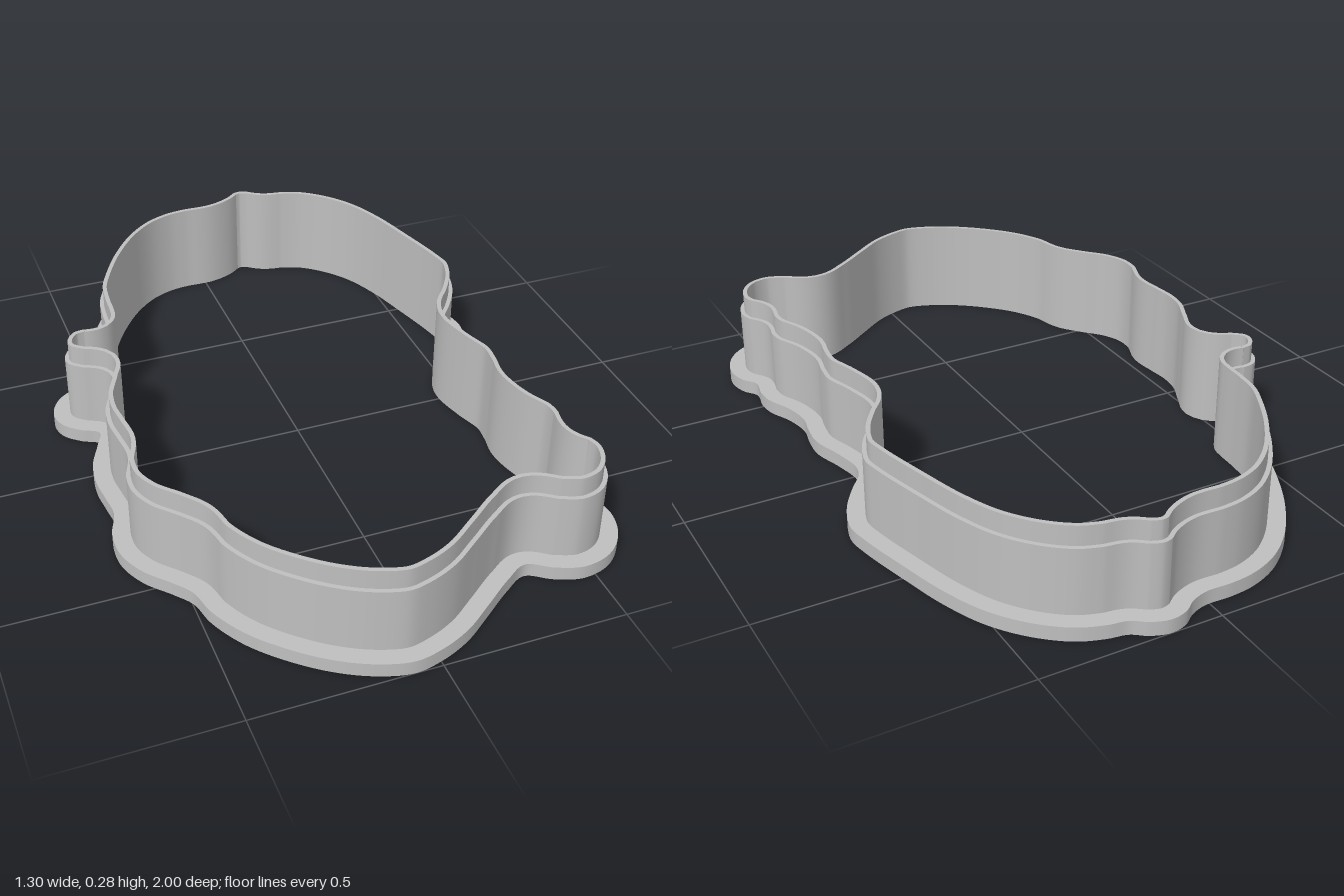
import * as THREE from 'three';

// Outer outline of the base flange, clockwise seen from above: x, z in hundredths
const upperRight = [
  14.5, -100, 19.5, -98.5, 23.5, -95.8, 29, -94.7, 36, -92, 44, -85.7, 51, -76.7, 56.2, -65,
  60.5, -50, 64, -36, 65, -29, 64, -24, 61.5, -18, 57, -11, 53.2, -6, 52, -1.5,
];
const lowerRight = [
  53.6, 7, 56.3, 16.5, 55.8, 24, 54.8, 30, 56.2, 38, 59.4, 45.5, 60, 51, 59.2, 57.5,
  62, 62, 63.2, 68.5, 60.5, 76.7, 54.6, 82.5, 46.5, 84.5, 39, 82.2, 32.5, 78.5,
];
const lowerLeft = [
  26, 82, 17.5, 88.4, 8.7, 94.8, 0, 98.6, -7.6, 100, -17, 97.5, -26, 92.6, -35, 85.2,
  -42.5, 76.7, -47.7, 67, -49.8, 59, -53.5, 54, -59.5, 47, -63, 38.8, -63, 30.5,
  -60.4, 22.5, -60.9, 15.3, -61.5, 8, -60.4, 0, -56.8, -8.5, -55, -13.7,
];
const upperLeft = [
  -59.8, -16.8, -64, -21, -65.2, -26.4, -63, -32.2, -58.7, -36, -53.5, -37, -50.2, -36.7,
  -49.8, -38.2, -49.4, -45, -48.2, -53.4, -44.6, -62, -38.8, -72.5, -30.8, -83, -22.4, -90,
  -14, -93.6, -6.6, -94.7, 1.3, -94.7, 6, -96.3, 9.8, -99,
];

// Distances inward from the flange edge, and heights
const WALL = 0.048, EDGE = 0.06, INNER = 0.072;
const FLANGE_TOP = 0.04, WALL_TOP = 0.225, TOP = 0.28;

function sampleOutline() {
  const flat = [upperRight, lowerRight, lowerLeft, upperLeft].flat();
  const pts = [];
  for (let i = 0; i < flat.length; i += 2) {
    pts.push(new THREE.Vector3(flat[i] / 100, 0, flat[i + 1] / 100));
  }
  const samples = new THREE.CatmullRomCurve3(pts, true, 'centripetal').getPoints(pts.length * 8);
  samples.pop();
  const n = samples.length;
  // Each sample carries its inward direction
  return samples.map((p, i) => {
    const t = samples[(i + 1) % n].clone().sub(samples[(i + n - 1) % n]).normalize();
    return { x: p.x, z: p.z, nx: -t.z, nz: t.x };
  });
}

// Sweeps an open profile of [inset, height] points round the outline;
// each profile step has its own vertices, so the steps stay sharp
function sweep(outline, profile) {
  const n = outline.length, pos = [], index = [];
  for (let k = 0; k < profile.length - 1; k++) {
    const base = pos.length / 3;
    for (const [d, y] of [profile[k], profile[k + 1]]) {
      for (const o of outline) pos.push(o.x + o.nx * d, y, o.z + o.nz * d);
    }
    for (let i = 0; i < n; i++) {
      const j = (i + 1) % n;
      const a = base + i, b = base + j, c = a + n, d = b + n;
      index.push(a, c, b, c, d, b);
    }
  }
  const geo = new THREE.BufferGeometry();
  geo.setAttribute('position', new THREE.Float32BufferAttribute(pos, 3));
  geo.setIndex(index);
  geo.computeVertexNormals();
  return geo;
}

export function createModel() {
  const group = new THREE.Group();
  group.name = 'cookieCutter';
  const grey = new THREE.MeshStandardMaterial({ color: 0xbfbfbf });
  grey.name = 'grey plastic';

  const outline = sampleOutline();
  const parts = {
    baseFlange: [[INNER, 0], [0, 0], [0, FLANGE_TOP], [WALL, FLANGE_TOP]],
    outerWall: [[WALL, FLANGE_TOP], [WALL, WALL_TOP], [EDGE, WALL_TOP]],
    cuttingEdge: [[EDGE, WALL_TOP], [EDGE, TOP], [INNER, TOP]],
    innerWall: [[INNER, TOP], [INNER, 0]],
  };
  for (const [name, profile] of Object.entries(parts)) {
    const mesh = new THREE.Mesh(sweep(outline, profile), grey);
    mesh.name = name;
    group.add(mesh);
  }
  return group;
}
